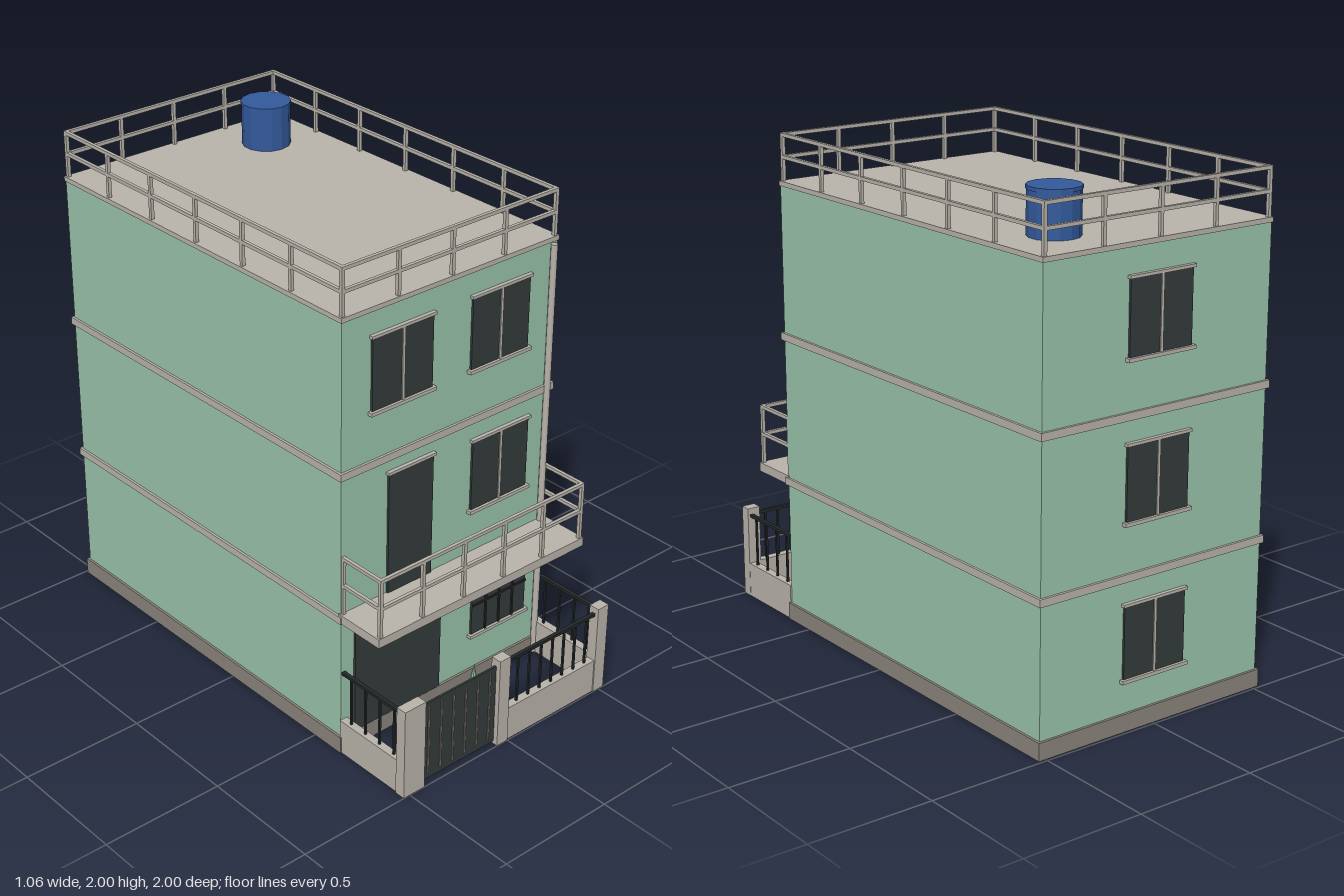
import * as THREE from 'three';

const mat = (name, color, extra = {}) => {
  const m = new THREE.MeshStandardMaterial({ color, ...extra });
  m.name = name;
  return m;
};

export function createModel() {
  const root = new THREE.Group();
  root.name = 'townhouse';
  const green = mat('wallGreen', 0x9ac4ac);
  const stone = mat('paleConcrete', 0xb9b4ab);
  const plinthGrey = mat('plinthGrey', 0x8a847b);
  const dark = mat('darkGlass', 0x343a3b);
  const iron = mat('blackIron', 0x25292a);
  const blue = mat('tankBlue', 0x33599c, { flatShading: true });
  const leaf = mat('plantGreen', 0x86c09c, { flatShading: true });

  // Box given by its lower and upper limits on each axis
  const box = (parent, name, m, x0, x1, y0, y1, z0, z1) => {
    const mesh = new THREE.Mesh(new THREE.BoxGeometry(x1 - x0, y1 - y0, z1 - z0), m);
    mesh.position.set((x0 + x1) / 2, (y0 + y1) / 2, (z0 + z1) / 2);
    mesh.name = name;
    parent.add(mesh);
    return mesh;
  };
  const group = (name) => {
    const g = new THREE.Group();
    g.name = name;
    root.add(g);
    return g;
  };

  // Main block, plinth, floor bands, balcony and roof
  box(root, 'walls', green, -0.52, 0.52, 0.002, 1.796, -0.98, 0.638);
  box(root, 'plinth', plinthGrey, -0.53, 0.53, 0, 0.07, -0.99, 0.648);
  for (const y of [0.58, 1.18]) box(root, 'floorBand', stone, -0.53, 0.53, y, y + 0.03, -0.99, 0.648);
  box(root, 'balconySlab', stone, -0.525, 0.525, 0.581, 0.618, 0.63, 0.85);
  box(root, 'roofSlab', stone, -0.524, 0.524, 1.795, 1.814, -0.985, 0.642);

  // Railing run between two points: evenly spaced posts and two bars
  const railing = (parent, x0, z0, x1, z1, y0, yTop, bays) => {
    const t = 0.007, mid = (y0 + yTop) / 2;
    for (let i = 0; i <= bays; i++) {
      const x = x0 + (x1 - x0) * i / bays, z = z0 + (z1 - z0) * i / bays;
      box(parent, 'railPost', stone, x - t, x + t, y0, yTop - 0.002, z - t, z + t);
    }
    for (const y of [mid, yTop - t]) {
      box(parent, 'railBar', stone, Math.min(x0, x1) - t, Math.max(x0, x1) + t, y - t, y + t,
        Math.min(z0, z1) - t, Math.max(z0, z1) + t);
    }
  };
  const roofRail = group('roofRailing');
  const balconyRail = group('balconyRailing');
  for (const z of [0.63, -0.973]) railing(roofRail, -0.51, z, 0.51, z, 1.814, 2, 4);
  railing(balconyRail, -0.51, 0.84, 0.51, 0.84, 0.618, 0.862, 5);
  for (const x of [-0.51, 0.51]) {
    railing(roofRail, x, -0.973, x, 0.63, 1.814, 2, 6);
    railing(balconyRail, x, 0.64, x, 0.84, 0.618, 0.862, 1);
  }

  // Openings: dark pane with lintel, and optional sill and mullion; dir is the wall's facing
  const opening = (name, x0, x1, y0, y1, dir, { sill = true, mullion = true } = {}) => {
    const g = group(name);
    const wall = dir > 0 ? 0.638 : -0.98;
    const plate = (n, m, a, b, c, d, depth) =>
      box(g, n, m, a, b, c, d, Math.min(wall, wall + dir * depth), Math.max(wall, wall + dir * depth));
    plate('pane', dark, x0, x1, y0, y1, 0.009);
    plate('lintel', stone, x0 - 0.008, x1 + 0.008, y1, y1 + 0.012, 0.016);
    if (sill) plate('sill', stone, x0 - 0.012, x1 + 0.012, y0 - 0.014, y0, 0.02);
    const c = (x0 + x1) / 2;
    if (mullion) plate('mullion', stone, c - 0.006, c + 0.006, y0, y1, 0.013);
    return plate;
  };
  opening('upperLeftWindow', 0.093, 0.38, 1.41, 1.695, 1);
  opening('upperRightWindow', -0.385, -0.098, 1.41, 1.695, 1);
  opening('middleWindow', 0.115, 0.403, 0.81, 1.1, 1);
  opening('balconyDoor', -0.3, -0.083, 0.618, 1.122, 1, { sill: false, mullion: false });
  opening('garageDoor', -0.457, -0.025, 0.07, 0.523, 1, { sill: false, mullion: false });
  const grille = opening('groundWindow', 0.14, 0.428, 0.235, 0.5, 1, { mullion: false });
  for (const x of [0.212, 0.284, 0.356]) grille('grilleBar', iron, x - 0.004, x + 0.004, 0.235, 0.5, 0.015);
  grille('grilleBar', iron, 0.14, 0.428, 0.364, 0.372, 0.015);
  for (const y of [0.207, 0.807, 1.407]) opening('backWindow', -0.143, 0.143, y, y + 0.28, -1);

  // Drainpipe
  const pipe = new THREE.Mesh(new THREE.CylinderGeometry(0.013, 0.013, 1.79, 10), stone);
  pipe.position.set(0.492, 0.895, 0.65);
  pipe.name = 'drainpipe';
  root.add(pipe);

  // Water tank with lid
  const tank = group('waterTank');
  tank.position.set(0.285, 0, -0.745);
  for (const [name, r, y0, y1] of [['tankBody', 0.097, 1.814, 1.978], ['tankLid', 0.1, 1.978, 1.992]]) {
    const m = new THREE.Mesh(new THREE.CylinderGeometry(r, r, y1 - y0, 14), blue);
    m.position.y = (y0 + y1) / 2;
    m.name = name;
    tank.add(m);
  }

  // Front yard: pillars, low walls and iron fence
  const yard = group('frontYard');
  for (const [x0, x1] of [[-0.53, -0.428], [-0.055, 0], [0.47, 0.526]]) {
    box(yard, 'pillar', stone, x0, x1, 0, 0.385, 0.955, 1);
  }
  box(yard, 'lowWall', stone, 0, 0.47, 0, 0.145, 0.96, 0.995);
  box(yard, 'fenceRail', iron, 0, 0.47, 0.347, 0.359, 0.97, 0.985);
  for (let i = 1; i <= 7; i++) {
    const x = i * 0.0615;
    box(yard, 'fenceBar', iron, x - 0.004, x + 0.004, 0.145, 0.35, 0.974, 0.982);
  }
  for (const x of [-0.508, 0.508]) {
    box(yard, 'sideWall', stone, x - 0.017, x + 0.017, 0, 0.145, 0.64, 0.96);
    box(yard, 'sideRail', iron, x - 0.008, x + 0.008, 0.347, 0.359, 0.638, 0.957);
    for (let i = 0; i < 4; i++) {
      const z = 0.685 + i * 0.078;
      box(yard, 'sideBar', iron, x - 0.004, x + 0.004, 0.145, 0.35, z - 0.004, z + 0.004);
    }
  }

  // Gate with thin vertical ribs
  const gate = group('gate');
  box(gate, 'gatePanel', dark, -0.428, -0.055, 0.012, 0.355, 0.971, 0.98);
  for (let i = 0; i < 6; i++) {
    const x = -0.394 + i * 0.0615;
    box(gate, 'gateRib', plinthGrey, x - 0.003, x + 0.003, 0.035, 0.335, 0.978, 0.985);
  }

  // Small shrub behind the low wall
  const shrub = new THREE.Mesh(new THREE.ConeGeometry(0.035, 0.16, 8), leaf);
  shrub.position.set(0.09, 0.08, 0.72);
  shrub.name = 'shrub';
  root.add(shrub);

  return root;
}
